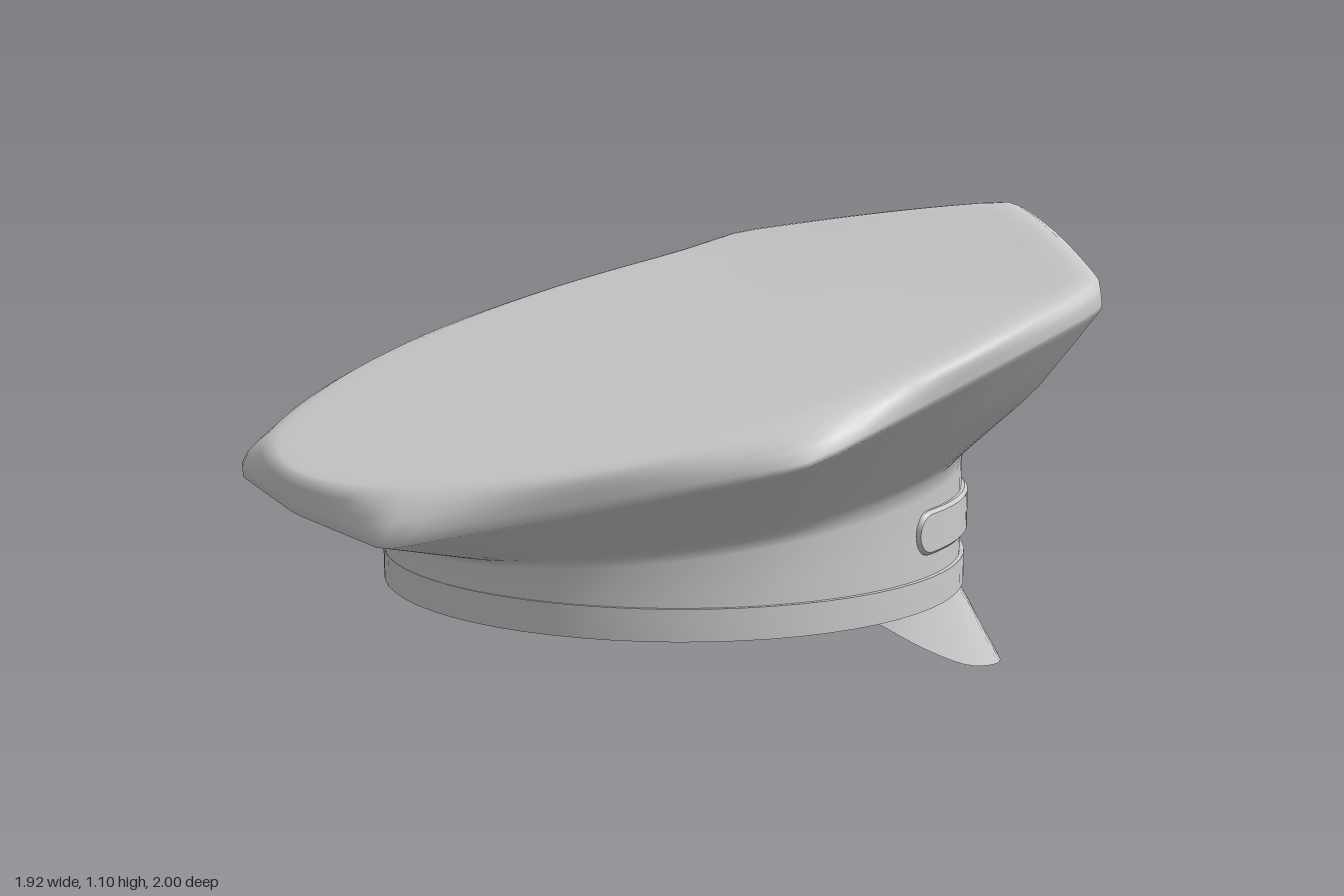
import * as THREE from 'three';
import { mergeVertices, toCreasedNormals } from 'three/addons/utils/BufferGeometryUtils.js';

const material = new THREE.MeshStandardMaterial({ color: 0xcccccc, side: THREE.DoubleSide });
const { lerp, smoothstep } = THREE.MathUtils;

function part(name, geometry) {
  const mesh = new THREE.Mesh(geometry, material);
  mesh.name = name;
  return mesh;
}

// Smooth surface through a grid of points; coincident seams are welded.
function loft(nu, nv, point) {
  const pos = [], index = [];
  for (let i = 0; i <= nu; i++) for (let j = 0; j <= nv; j++) pos.push(...point(i, j));
  for (let i = 0; i < nu; i++) for (let j = 0; j < nv; j++) {
    const a = i * (nv + 1) + j, b = a + nv + 1;
    index.push(a, a + 1, b, b, a + 1, b + 1);
  }
  let g = new THREE.BufferGeometry();
  g.setAttribute('position', new THREE.Float32BufferAttribute(pos, 3));
  g.setIndex(index);
  g = mergeVertices(g, 1e-4);
  g.computeVertexNormals();
  return g;
}

// Seven-cornered rim outline (x, z), with a slightly bowed back edge.
const half = [[0.965, 0], [0.605, 0.812], [-0.25, 1.012], [-0.925, 0.485], [-0.95, 0]];
const corners = [...half, ...half.slice(1, 4).reverse().map(([x, z]) => [x, -z])];
const PER_EDGE = 12, COLS = corners.length * PER_EDGE;

function outline(i) {
  const at = (k) => {
    k = (k + COLS) % COLS;
    const e = Math.floor(k / PER_EDGE), t = (k % PER_EDGE) / PER_EDGE;
    const p = corners[e], q = corners[(e + 1) % corners.length];
    return [lerp(p[0], q[0], t), lerp(p[1], q[1], t)];
  };
  // slight corner rounding
  const m = at(i), l = at(i - 1), r = at(i + 1);
  return [0, 1].map((c) => 0.6 * m[c] + 0.2 * (l[c] + r[c]));
}

const wallPoint = (a) => [-0.025 + 0.67 * Math.cos(a), 0.693 * Math.sin(a)];
const wallTop = (x) => 0.495 + 0.15 * x;
const rimHeight = (x) => 0.752 + 0.287 * x;
const topHeight = (x) => 0.826 + 0.272 * x + 0.03 * smoothstep(x, 0.4, 0.9);

// Crown: wall, flared underside with a belly at the front, cornered rim,
// and a sloping, softly rolled top that is round at the sides and back.
function crown() {
  const rings = [
    { wall: 0 }, { wall: 0.5 }, { wall: 0.9 },
    { flare: 0.02, front: 0.05 }, { flare: 0.1, front: 0.12 }, { flare: 0.28, front: 0.16 },
    { flare: 0.48, front: 0.2 }, { flare: 0.6, front: 0.27 }, { flare: 0.8, front: 0.62 },
    { flare: 0.95, front: 0.91 }, { flare: 0.99, front: 0.98 },
    { scale: 1, round: 0, lift: 0.08 }, { scale: 1, round: 0.2, lift: 0.35 },
    { scale: 1, round: 0.55, lift: 0.58 }, { scale: 0.992, round: 0.85, lift: 0.76 },
    { scale: 0.972, round: 1, lift: 0.9 }, { scale: 0.94, round: 1, lift: 0.98 },
    { scale: 0.89, round: 1, lift: 1 }, { scale: 0.7, round: 1, lift: 1 },
    { scale: 0.35, round: 1, lift: 1 }, { scale: 0, round: 1, lift: 1 },
  ];
  return loft(COLS, rings.length - 1, (i, j) => {
    const ring = rings[j], [hx, hz] = outline(i), a = Math.atan2(hz, hx);
    const [wx, wz] = wallPoint(a), c = Math.cos(a);
    if (ring.wall !== undefined) return [wx, lerp(0.28, wallTop(wx), ring.wall), wz];
    if (ring.flare !== undefined) {
      const rise = lerp(ring.flare, ring.front, Math.max(0, c) ** 3);
      return [lerp(wx, hx, ring.flare), lerp(wallTop(wx), rimHeight(hx), rise), lerp(wz, hz, ring.flare)];
    }
    const round = ring.round * lerp(0.95, 0.12, smoothstep(c, 0.05, 0.65));
    const x = lerp(hx, -0.012 + 0.95 * c, round) * ring.scale;
    const z = lerp(hz, 0.945 * Math.sin(a), round) * ring.scale;
    const lift = lerp(ring.lift, Math.min(1, ring.lift + 0.2), Math.max(0, -c));
    return [x, lerp(rimHeight(x), topHeight(x), lift), z];
  });
}

// Turned part, stretched to the oval of the head.
function ovalLathe(profile) {
  const g = new THREE.LatheGeometry(profile.map(([x, y]) => new THREE.Vector2(x, y)), 64);
  g.scale(1, 1, 1.043).translate(-0.022, 0, 0);
  return toCreasedNormals(g, 0.6);
}

// Headband ring around the opening, and the closed lining inside it.
const headband = () => ovalLathe([[0.65, 0.26], [0.675, 0.26], [0.675, 0.33], [0.65, 0.33]]);
const lining = () => ovalLathe([[0.65, 0.26], [0.645, 0.45], [0.64, 0.61], [0, 0.61]]);

// Strap curved round the front, with rounded ends.
function strap() {
  const section = [[0, -1], [0.8, -1], [1, -0.85], [1, 0.85], [0.8, 1], [0, 1], [0, -1]];
  const N = 60, end = 1.16;
  const g = loft(N, section.length - 1, (i, j) => {
    const a = end * Math.sin((i / N - 0.5) * Math.PI);
    const edge = Math.min(1, (end - Math.abs(a)) / 0.07);
    const h = 0.05 * Math.sqrt(Math.max(0, 1 - (1 - edge) ** 2));
    const r = 0.655 + 0.035 * section[j][0];
    return [-0.028 + r * Math.cos(a), 0.43 + h * section[j][1], (r + 0.015) * Math.sin(a)];
  });
  return toCreasedNormals(g, 0.6);
}

// Drooping visor between the headband and a curved outer edge.
function visor() {
  const side = [[0.12, 0.26, 0.66], [0.28, 0.17, 0.615], [0.47, 0.085, 0.52], [0.64, 0.042, 0.4], [0.765, 0.012, 0.2]];
  const pts = [...side, [0.808, 0, 0], ...side.slice().reverse().map(([x, y, z]) => [x, y, -z])];
  const edge = new THREE.CatmullRomCurve3(pts.map((p) => new THREE.Vector3(...p)));
  const N = 48, rows = 6;
  return loft(N, rows, (i, j) => {
    const u = i / N, t = j / rows, p = edge.getPoint(u), a = lerp(1.34, -1.34, u);
    return [
      lerp(-0.022 + 0.65 * Math.cos(a), p.x, t),
      lerp(0.275, p.y, t),
      lerp(0.675 * Math.sin(a), p.z, t),
    ];
  });
}

// Blank shield badge: thin plate with a raised border.
function badge() {
  const trace = (target, s) => {
    const X = (x) => x * s, Y = (y) => 0.185 + (y - 0.185) * s;
    const curve = (cx, cy, x, y) => target.quadraticCurveTo(X(cx), Y(cy), X(x), Y(y));
    target.moveTo(X(0), Y(0));
    curve(0.05, 0.025, 0.11, 0.03);
    curve(0.19, 0.05, 0.188, 0.12);
    curve(0.15, 0.22, 0.212, 0.325);
    target.lineTo(X(0.165), Y(0.362));
    curve(0.09, 0.32, 0, 0.365);
    curve(-0.09, 0.32, -0.165, 0.362);
    target.lineTo(X(-0.212), Y(0.325));
    curve(-0.15, 0.22, -0.188, 0.12);
    curve(-0.19, 0.05, -0.11, 0.03);
    curve(-0.05, 0.025, 0, 0);
    return target;
  };
  const plate = trace(new THREE.Shape(), 0.97);
  const border = trace(new THREE.Shape(), 1);
  border.holes.push(trace(new THREE.Path(), 0.92));
  const group = new THREE.Group();
  group.name = 'badge';
  for (const [name, shape, depth] of [['badgePlate', plate, 0.01], ['badgeBorder', border, 0.016]]) {
    const g = new THREE.ExtrudeGeometry(shape, { depth, bevelEnabled: false, curveSegments: 8 });
    group.add(part(name, g.rotateY(Math.PI / 2)));
  }
  group.position.set(0.83, 0.673, 0);
  group.rotation.z = -0.32;
  return group;
}

export function createModel() {
  const cap = new THREE.Group();
  cap.name = 'peakedCap';
  cap.add(
    part('crown', crown()), part('headband', headband()), part('lining', lining()),
    part('strap', strap()), part('visor', visor()), badge(),
  );
  return cap;
}
